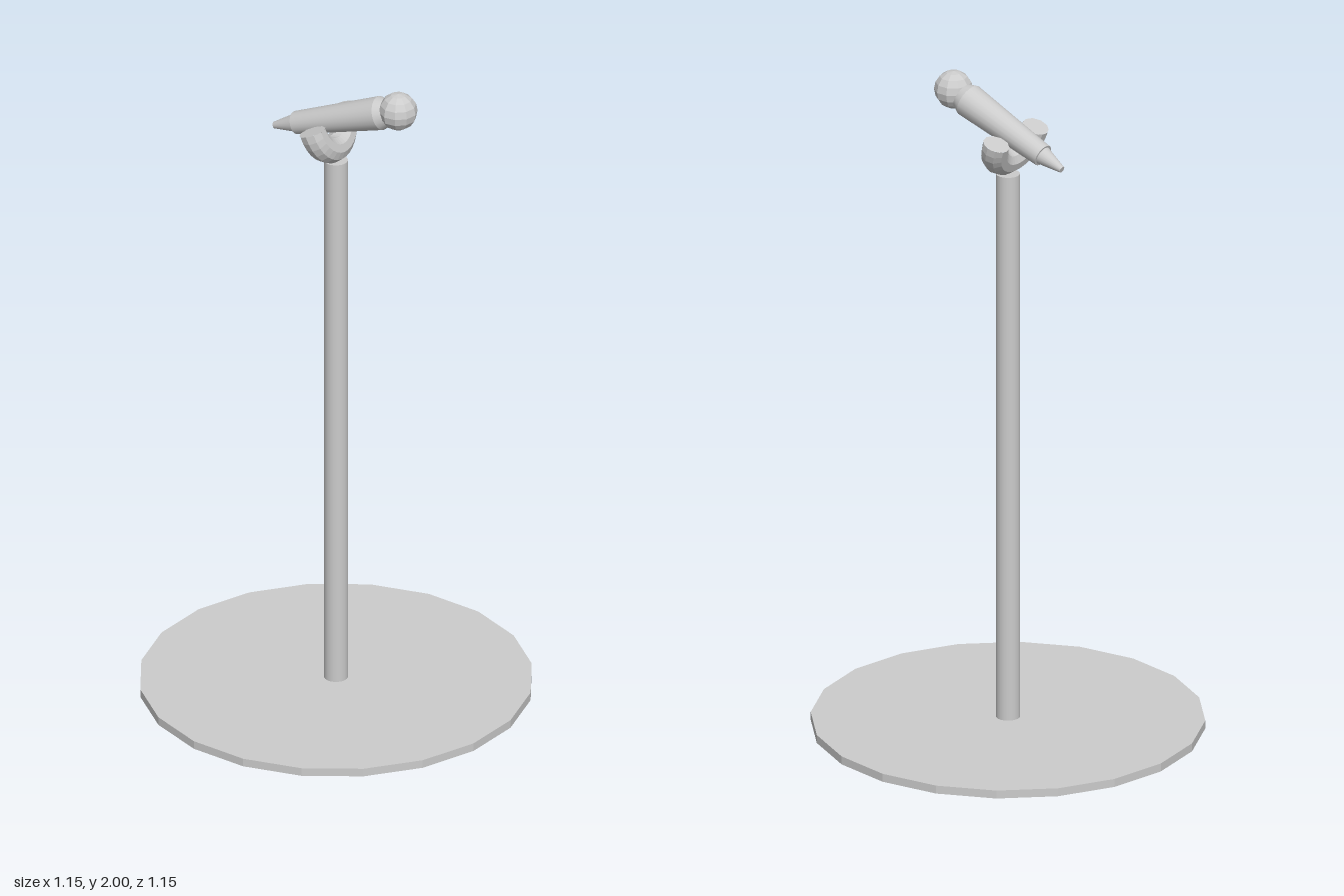
import * as THREE from 'three';

export function createModel() {
  const model = new THREE.Group();
  const smooth = new THREE.MeshStandardMaterial({ color: 0xcccccc });
  const faceted = new THREE.MeshStandardMaterial({ color: 0xcccccc, flatShading: true });

  function add(parent, name, geometry, material, x = 0, y = 0, z = 0) {
    const mesh = new THREE.Mesh(geometry, material);
    mesh.name = name;
    mesh.position.set(x, y, z);
    parent.add(mesh);
    return mesh;
  }

  // Tapered section lying along local x, from x0 to x1
  function section(parent, name, x0, r0, x1, r1) {
    const geometry = new THREE.CylinderGeometry(r1, r0, x1 - x0, 20);
    geometry.rotateZ(-Math.PI / 2);
    add(parent, name, geometry, smooth, (x0 + x1) / 2);
  }

  // Floor plate and pole
  add(model, 'base', new THREE.CylinderGeometry(0.575, 0.575, 0.025, 20), faceted, 0, 0.0125);
  add(model, 'pole', new THREE.CylinderGeometry(0.035, 0.035, 1.71, 20), smooth, 0, 0.875);

  // Tilted head: cradle and microphone share one axis
  const head = new THREE.Group();
  head.name = 'head';
  head.position.set(-0.03, 1.857, 0);
  head.rotation.z = THREE.MathUtils.degToRad(20);
  model.add(head);

  // Half-ring cradle below the microphone, with closed ends
  const ring = new THREE.TorusGeometry(0.09, 0.04, 10, 16, Math.PI);
  ring.rotateZ(Math.PI).rotateY(Math.PI / 2);
  add(head, 'cradle', ring, faceted);
  for (const side of [-1, 1]) {
    const cap = new THREE.CircleGeometry(0.04, 10).rotateX(-Math.PI / 2);
    add(head, 'cradleEnd', cap, faceted, 0, 0, side * 0.09);
  }

  // Microphone: tail, handle and collar
  section(head, 'tail', -0.184, 0.01, -0.108, 0.028);
  section(head, 'handle', -0.108, 0.034, 0.19, 0.05);
  section(head, 'collar', 0.19, 0.05, 0.213, 0.04);

  // Ball grille
  const ball = add(head, 'grille', new THREE.SphereGeometry(0.057, 10, 8), faceted, 0.25);
  ball.rotation.z = -head.rotation.z;

  return model;
}
